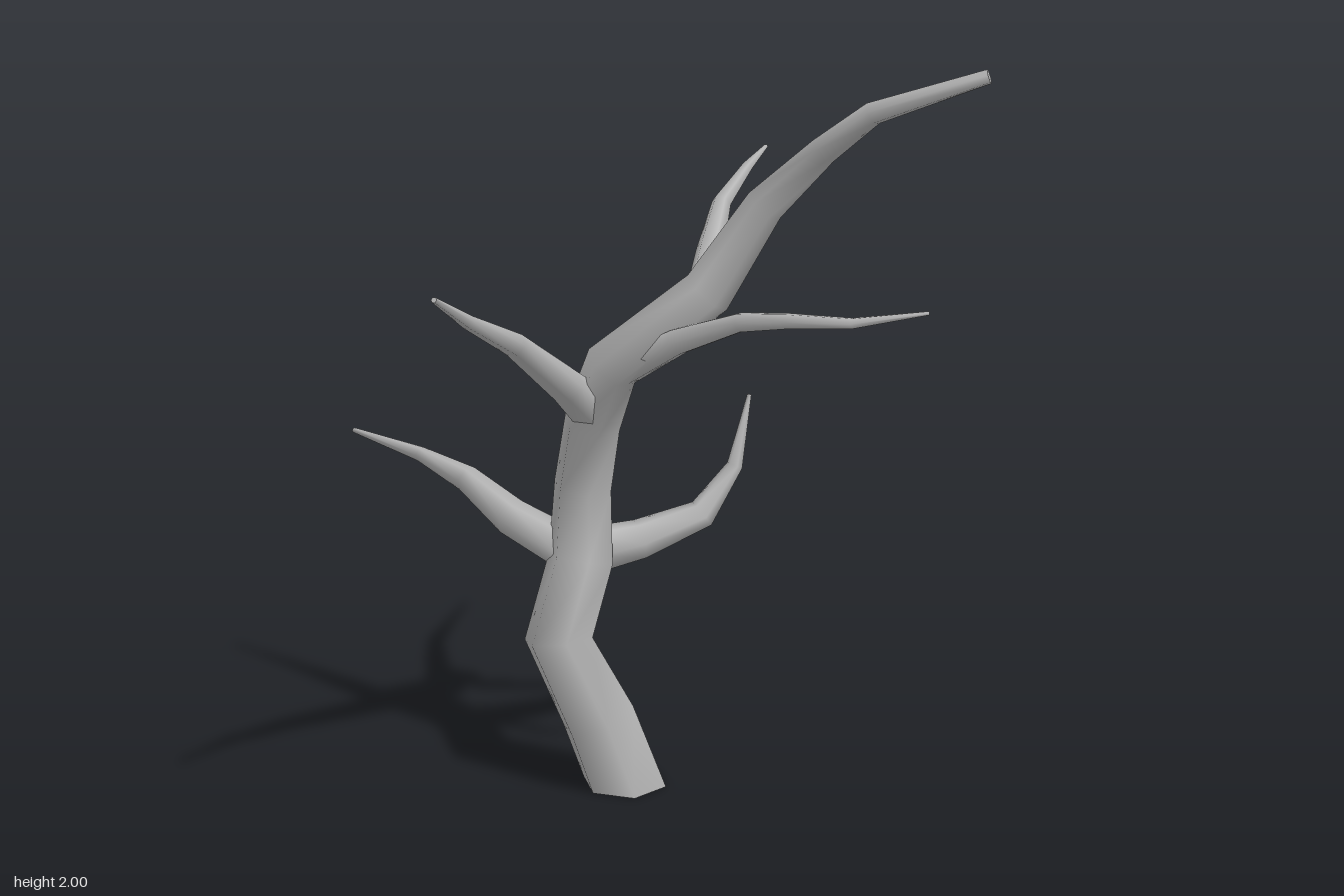
import * as THREE from 'three';

const SIDES = 6;

// Tapered six-sided limb swept through stations of [x, y, z, radius]
function limbGeometry(stations, startDir, startSide) {
  const points = stations.map(s => new THREE.Vector3(s[0], s[1], s[2]));
  const last = points.length - 1;
  const step = i => points[i + 1].clone().sub(points[i]).normalize();
  const positions = [], index = [];
  let side = startSide;

  const addRing = (i, u, v) => {
    for (let k = 0; k < SIDES; k++) {
      const a = (k / SIDES) * Math.PI * 2;
      const p = points[i].clone()
        .addScaledVector(u, Math.cos(a) * stations[i][3])
        .addScaledVector(v, Math.sin(a) * stations[i][3]);
      positions.push(p.x, p.y, p.z);
    }
  };

  const frames = points.map((p, i) => {
    const t = i === 0 ? (startDir || step(0))
      : i === last ? step(last - 1)
      : step(i - 1).add(step(i)).normalize();
    if (!side) side = new THREE.Vector3(0, 1, 0).cross(t);
    // carry the side vector along the path so the limb does not twist
    side = side.clone().addScaledVector(t, -side.dot(t)).normalize();
    return [side, t.clone().cross(side)];
  });

  // smooth bark
  frames.forEach(([u, v], i) => addRing(i, u, v));
  for (let i = 0; i < last; i++) {
    for (let k = 0; k < SIDES; k++) {
      const a = i * SIDES + k, b = i * SIDES + (k + 1) % SIDES;
      index.push(a, b, b + SIDES, a, b + SIDES, a + SIDES);
    }
  }
  // flat end caps with their own vertices
  for (const i of [0, last]) {
    const base = positions.length / 3;
    addRing(i, ...frames[i]);
    for (let k = 1; k < SIDES - 1; k++) {
      if (i === 0) index.push(base, base + k + 1, base + k);
      else index.push(base, base + k, base + k + 1);
    }
  }

  const geometry = new THREE.BufferGeometry();
  geometry.setAttribute('position', new THREE.Float32BufferAttribute(positions, 3));
  geometry.setIndex(index);
  geometry.computeVertexNormals();
  return geometry;
}

const TRUNK = [
  [0.167, 0, -0.03, 0.118], [0.09, 0.21, -0.055, 0.106], [0.01, 0.43, -0.125, 0.096],
  [0.088, 0.64, -0.122, 0.09], [0.103, 0.84, -0.13, 0.08], [0.07, 1.04, -0.055, 0.077],
  [0.03, 1.21, 0.06, 0.073], [0.175, 1.41, 0.255, 0.066], [0.255, 1.635, 0.37, 0.05],
  [0.275, 1.785, 0.54, 0.036], [0.255, 1.892, 0.71, 0.029], [0.395, 1.985, 0.935, 0.018],
];

const BRANCHES = {
  lowerLeftBranch: [
    [0.14, 0.655, -0.12, 0.064], [0.25, 0.675, -0.06, 0.055], [0.40, 0.735, 0.025, 0.041],
    [0.478, 0.865, 0.07, 0.022], [0.53, 1.055, 0.07, 0.006],
  ],
  backBranch: [
    [0.08, 0.655, -0.15, 0.06], [0.03, 0.72, -0.34, 0.052], [0.008, 0.798, -0.5, 0.037],
    [-0.01, 0.835, -0.68, 0.021], [-0.045, 0.86, -0.945, 0.007],
  ],
  rightBranch: [
    [0.03, 1.09, -0.03, 0.058], [-0.09, 1.17, 0.02, 0.046], [-0.34, 1.33, 0.11, 0.031],
    [-0.54, 1.425, 0.18, 0.018], [-0.735, 1.522, 0.298, 0.007],
  ],
  frontBranch: [
    [0.06, 1.2, 0.08, 0.045], [0.09, 1.295, 0.24, 0.037], [0.115, 1.37, 0.43, 0.026],
    [0.125, 1.395, 0.58, 0.02], [0.18, 1.405, 0.73, 0.014], [0.295, 1.435, 0.868, 0.005],
  ],
  upperLeftBranch: [
    [0.2, 1.40, 0.21, 0.042], [0.3, 1.49, 0.14, 0.036], [0.41, 1.588, 0.07, 0.026],
    [0.56, 1.66, 0.015, 0.016], [0.73, 1.693, -0.075, 0.006],
  ],
};

export function createModel() {
  const tree = new THREE.Group();
  tree.name = 'bareTree';
  const bark = new THREE.MeshStandardMaterial({ color: 0xb4b4b4 });
  bark.name = 'greyBark';

  const add = (name, geometry) => {
    const mesh = new THREE.Mesh(geometry, bark);
    mesh.name = name;
    tree.add(mesh);
  };

  // trunk starts on a level base
  add('trunk', limbGeometry(TRUNK, new THREE.Vector3(0, 1, 0), new THREE.Vector3(1, 0, 0)));
  for (const [name, stations] of Object.entries(BRANCHES)) add(name, limbGeometry(stations));
  return tree;
}
